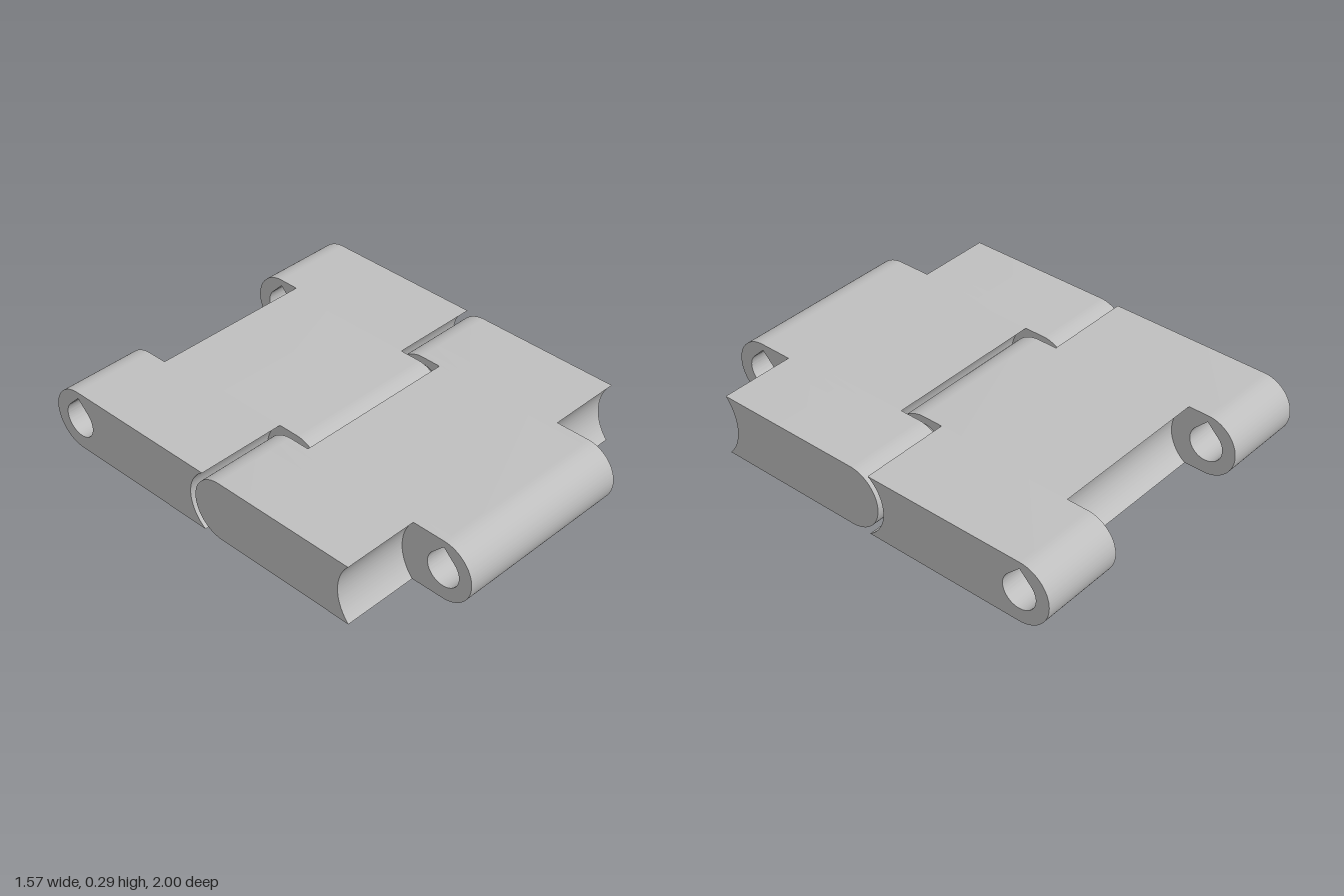
import * as THREE from 'three';
import { toCreasedNormals } from 'three/addons/utils/BufferGeometryUtils.js';

const R = 0.1435;      // knuckle radius, half the plate thickness
const PITCH = 0.857;   // distance between hinge axes
const GAP = 0.172;     // radius of the hollow around a neighbouring knuckle
const WIDE_GAP = 0.212;
const BORE = 0.08, SOCKET = 0.11;

// Teardrop bore with its point upward
function teardrop(u) {
  const hole = new THREE.Path();
  hole.absarc(u, R, BORE, Math.PI * 0.75, Math.PI * 2.25, false);
  hole.lineTo(u, R + BORE * Math.SQRT2);
  hole.closePath();
  return hole;
}

function roundHole(u) {
  return new THREE.Path().absarc(u, R, SOCKET, 0, Math.PI * 2, true);
}

// Side profile drawn in (-z, y). A hollow radius of 0 means a rounded knuckle end.
function profile(frontZ, frontHollow, rearZ, rearHollow, holes) {
  const s = new THREE.Shape();
  const q = Math.PI / 2;
  if (rearHollow) {
    const a = Math.asin(R / rearHollow);
    s.absarc(-rearZ, R, rearHollow, Math.PI + a, Math.PI - a, true);
  } else s.absarc(-rearZ, R, R, -q, q, false);
  if (frontHollow) {
    const a = Math.asin(R / frontHollow);
    s.absarc(-frontZ, R, frontHollow, a, -a, true);
  } else s.absarc(-frontZ, R, R, q, 3 * q, false);
  s.holes.push(...holes);
  return s;
}

// Extrude a profile across the span x0..x1
function slice(shape, x0, x1) {
  const g = new THREE.ExtrudeGeometry(shape, { depth: x1 - x0, bevelEnabled: false, curveSegments: 40 });
  g.rotateY(Math.PI / 2).translate(x0, 0, 0);
  return toCreasedNormals(g, 0.5);
}

export function createModel() {
  const model = new THREE.Group();
  model.name = 'hingedLinks';
  const grey = new THREE.MeshStandardMaterial({ color: 0xbfbfbf, side: THREE.DoubleSide });
  grey.name = 'grey';

  const add = (group, name, geometry) => {
    const mesh = new THREE.Mesh(geometry, grey);
    mesh.name = name;
    group.add(mesh);
    return mesh;
  };
  const addPair = (group, name, shape, x0, x1) => {
    add(group, name + 'Left', slice(shape, x0, x1));
    add(group, name + 'Right', slice(shape, -x1, -x0));
  };

  // Front link: one wide knuckle ahead, two knuckles on the middle hinge
  const front = new THREE.Group();
  front.name = 'frontLink';
  model.add(front);
  add(front, 'frontKnuckleBody', slice(profile(PITCH, 0, 0, GAP, [teardrop(-PITCH)]), -0.39, 0.39));
  addPair(front, 'knuckleShoulder', profile(PITCH, 0, 0, 0, [teardrop(-PITCH), roundHole(0)]), 0.39, 0.43);
  addPair(front, 'socketSide', profile(PITCH, WIDE_GAP, 0, 0, [roundHole(0)]), 0.43, 0.5);
  addPair(front, 'outerSide', profile(PITCH, WIDE_GAP, 0, 0, []), 0.5, 0.785);

  // Rear link: centre knuckle on the middle hinge, two bored knuckles behind
  const rear = new THREE.Group();
  rear.name = 'rearLink';
  model.add(rear);
  add(rear, 'centreKnuckleBody', slice(profile(0, 0, -PITCH, GAP, []), -0.36, 0.36));
  addPair(rear, 'clearanceStrip', profile(0, GAP, -PITCH, GAP, []), 0.36, 0.39);
  addPair(rear, 'rearKnuckleSide', profile(0, GAP, -PITCH, 0, [teardrop(PITCH)]), 0.39, 0.785);

  // Conical pivots and the sockets they sit in
  for (const side of [1, -1]) {
    const end = side > 0 ? 'Left' : 'Right';
    const pin = new THREE.ConeGeometry(SOCKET, 0.11, 48).rotateZ(-side * Math.PI / 2);
    add(rear, 'pivotCone' + end, pin).position.set(side * 0.415, R, 0);
    const socket = new THREE.ConeGeometry(SOCKET, 0.11, 48, 1, true).rotateZ(-side * Math.PI / 2);
    add(front, 'pivotSocket' + end, socket).position.set(side * 0.445, R, 0);
  }
  return model;
}
